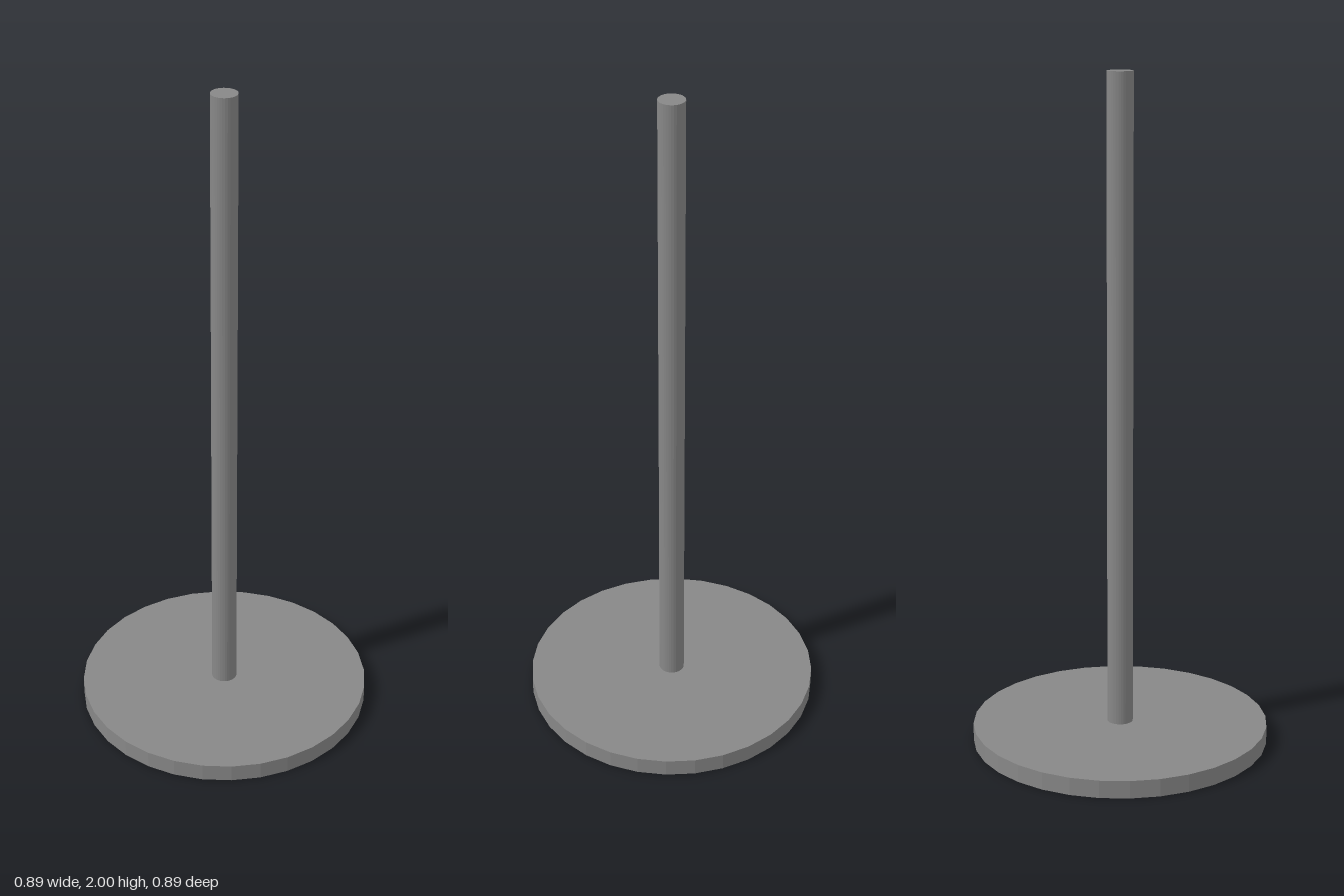
import * as THREE from 'three';

const BASE_HEIGHT = 0.053;
const TOTAL_HEIGHT = 2;
const SIDES = 32;

export function createModel() {
  const model = new THREE.Group();
  model.name = 'poleStand';
  const material = new THREE.MeshStandardMaterial({ color: 0x878787, flatShading: true });

  // Upright cylinder spanning bottom to top
  function addCylinder(name, radius, bottom, top) {
    const geometry = new THREE.CylinderGeometry(radius, radius, top - bottom, SIDES);
    const mesh = new THREE.Mesh(geometry, material);
    mesh.name = name;
    mesh.position.y = (bottom + top) / 2;
    model.add(mesh);
  }

  // Flat round foot
  addCylinder('base', 0.4445, 0, BASE_HEIGHT);
  // Slender post standing on the foot
  addCylinder('pole', 0.0385, BASE_HEIGHT, TOTAL_HEIGHT);

  return model;
}
